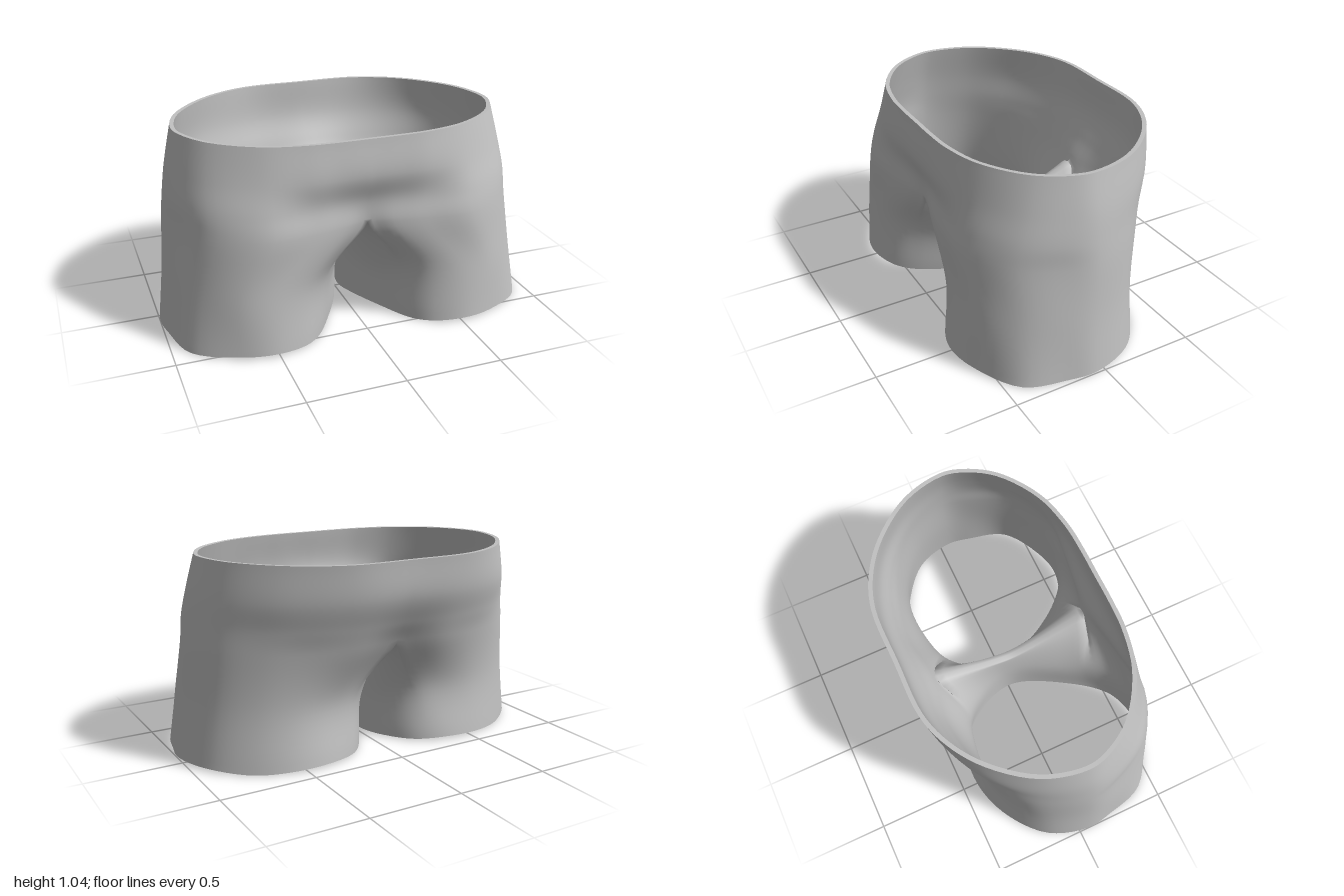
import * as THREE from 'three';
import { mergeVertices } from 'three/addons/utils/BufferGeometryUtils.js';

const K = 5;            // samples between neighbouring outline points
const STEPS = 8;        // rows between neighbouring outlines
const OUT = 11;         // outline segments from front centre round the side to back centre
const THICK = 0.022;

// Outlines of the left half as x, z pairs: front centre -> side -> back centre
const WAIST = [0, .51, .16, .51, .32, .5, .53, .445, .74, .3, .84, .14, .865, .02, .81, -.2, .65, -.41, .48, -.53, .3, -.59, 0, -.595];
const HIP = [0, .53, .15, .53, .32, .53, .54, .49, .77, .35, .88, .17, .91, .03, .84, -.2, .68, -.4, .5, -.51, .28, -.57, 0, -.575];
const FOLD = [0, .49, .14, .5, .3, .52, .54, .53, .78, .4, .9, .2, .932, .03, .85, -.2, .69, -.37, .5, -.47, .27, -.52, 0, -.51];
const RISE = [0, .48, .13, .51, .3, .54, .55, .555, .79, .42, .91, .2, .945, .03, .86, -.2, .7, -.35, .5, -.435, .26, -.475, 0, -.44];
// Closed leg outlines: the same outer points, then the inner thigh from back to front
const THIGH = [.21, .44, .33, .53, .5, .57, .68, .54, .86, .4, .95, .2, .967, .04, .89, -.18, .72, -.32, .53, -.38, .33, -.37, .17, -.32,
  .07, -.2, .02, -.08, .015, .02, .04, .13, .12, .3];
const HEM = [.26, .48, .36, .56, .52, .6, .69, .56, .91, .42, .98, .2, 1, .05, .93, -.17, .75, -.33, .55, -.41, .35, -.41, .19, -.34,
  .08, -.2, .03, -.08, .02, .02, .05, .13, .15, .32];
// Crotch seam as y, z pairs from back to front
const SEAM = [.6, -.44, .53, -.27, .46, -.1, .43, .02, .46, .16, .53, .33, .6, .48];

const V = (x, y, z) => new THREE.Vector3(x, y, z);
const pairs = (a, f) => Array.from({ length: a.length / 2 }, (_, i) => f(a[2 * i], a[2 * i + 1], i));
const mirrored = (p) => V(-p.x, p.y, p.z);

function sample(points, closed, count) {
  const curve = new THREE.CatmullRomCurve3(points, closed);
  const segments = closed ? points.length : points.length - 1;
  return Array.from({ length: count }, (_, i) => curve.getPoint(i / (segments * K)));
}

// Half of a body ring, smooth across the centre line
function bodyRing(data, y) {
  const half = pairs(data, (x, z) => V(x, y, z));
  return sample([...half, ...half.slice(1, -1).reverse().map(mirrored)], true, OUT * K + 1);
}

function legRing(data, heightAt) {
  const points = pairs(data, (x, z, i) => V(x, heightAt(x, z, i), z));
  return sample(points, true, points.length * K);
}

// Columns of points running up the cloth
function legColumns() {
  const hem = legRing(HEM, (x, z) => 0.01 + 0.008 * Math.sin(x * 9 + z * 5));
  const thigh = legRing(THIGH, (x, z, i) => (i > OUT ? 0.26 : 0.31));
  const body = [bodyRing(RISE, .6), bodyRing(FOLD, .72), bodyRing(HIP, .86), bodyRing(WAIST, 1.045)];
  const seam = sample(pairs(SEAM, (y, z) => V(0, y, z)), false, 6 * K);
  return hem.map((h, i) => {
    const outer = i <= OUT * K;
    const saddle = seam[i - OUT * K];
    const path = outer
      ? [h, thigh[i], ...body.map((ring) => ring[i])]
      : [h, thigh[i], saddle, mirrored(thigh[i])];
    const curve = new THREE.CatmullRomCurve3(path);
    const rows = (outer ? 5 : 2) * STEPS;
    const column = [];
    for (let r = 0; r <= rows; r++) {
      const p = curve.getPoint(r / ((path.length - 1) * STEPS));
      const onCentre = r >= 2 * STEPS && (!outer || i === 0 || i === OUT * K);
      if (onCentre) p.x = 0;
      column.push(p);
    }
    return column;
  });
}

function clothGeometry() {
  const columns = legColumns();
  const positions = [];
  const index = [];
  for (const side of [1, -1]) {
    const starts = columns.map((column) => {
      const start = positions.length / 3;
      column.forEach((p) => positions.push(p.x * side, p.y, p.z));
      return start;
    });
    columns.forEach((column, i) => {
      const j = (i + 1) % columns.length;
      const rows = Math.min(column.length, columns[j].length) - 1;
      // the back centre column meets the inner thigh only up to the seam
      for (let r = 0; r < rows; r++) {
        const a = starts[i] + r, b = starts[j] + r;
        if (side > 0) index.push(a, b, b + 1, a, b + 1, a + 1);
        else index.push(a, b + 1, b, a, a + 1, b + 1);
      }
    });
  }
  const geometry = new THREE.BufferGeometry();
  geometry.setAttribute('position', new THREE.Float32BufferAttribute(positions, 3));
  geometry.setIndex(index);
  const merged = mergeVertices(geometry, 1e-4);
  merged.computeVertexNormals();
  return merged;
}

// Same cloth, moved inward and turned over
function liningGeometry(cloth) {
  const lining = cloth.clone();
  const p = lining.attributes.position, n = cloth.attributes.normal;
  for (let i = 0; i < p.count; i++) {
    p.setXYZ(i, p.getX(i) - n.getX(i) * THICK, p.getY(i) - n.getY(i) * THICK * 0.2, p.getZ(i) - n.getZ(i) * THICK);
  }
  const ids = Array.from(cloth.index.array);
  for (let i = 0; i < ids.length; i += 3) [ids[i], ids[i + 1]] = [ids[i + 1], ids[i]];
  lining.setIndex(ids);
  lining.computeVertexNormals();
  return lining;
}

// Strips closing the cloth edge at the waist and both hems
function edgeGeometry(cloth, lining) {
  const ids = cloth.index.array;
  const edges = new Map();
  for (let i = 0; i < ids.length; i += 3) {
    for (let k = 0; k < 3; k++) {
      const a = ids[i + k], b = ids[i + (k + 1) % 3];
      if (a !== b) edges.set(a + '_' + b, [a, b]);
    }
  }
  const positions = [];
  const push = (g, i) => positions.push(...V(0, 0, 0).fromBufferAttribute(g.attributes.position, i).toArray());
  for (const [a, b] of edges.values()) {
    if (edges.has(b + '_' + a)) continue;
    [[cloth, b], [cloth, a], [lining, a], [cloth, b], [lining, a], [lining, b]].forEach(([g, i]) => push(g, i));
  }
  const geometry = new THREE.BufferGeometry();
  geometry.setAttribute('position', new THREE.Float32BufferAttribute(positions, 3));
  const smooth = mergeVertices(geometry, 1e-5);
  smooth.computeVertexNormals();
  return smooth;
}

export function createModel() {
  const fabric = new THREE.MeshStandardMaterial({ color: 0xc0c0c0, side: THREE.DoubleSide });
  fabric.name = 'grey fabric';
  const group = new THREE.Group();
  group.name = 'shorts';
  const cloth = clothGeometry();
  const lining = liningGeometry(cloth);
  const parts = { outerCloth: cloth, lining, waistAndHemEdges: edgeGeometry(cloth, lining) };
  for (const [name, geometry] of Object.entries(parts)) {
    const mesh = new THREE.Mesh(geometry, fabric);
    mesh.name = name;
    group.add(mesh);
  }
  return group;
}
